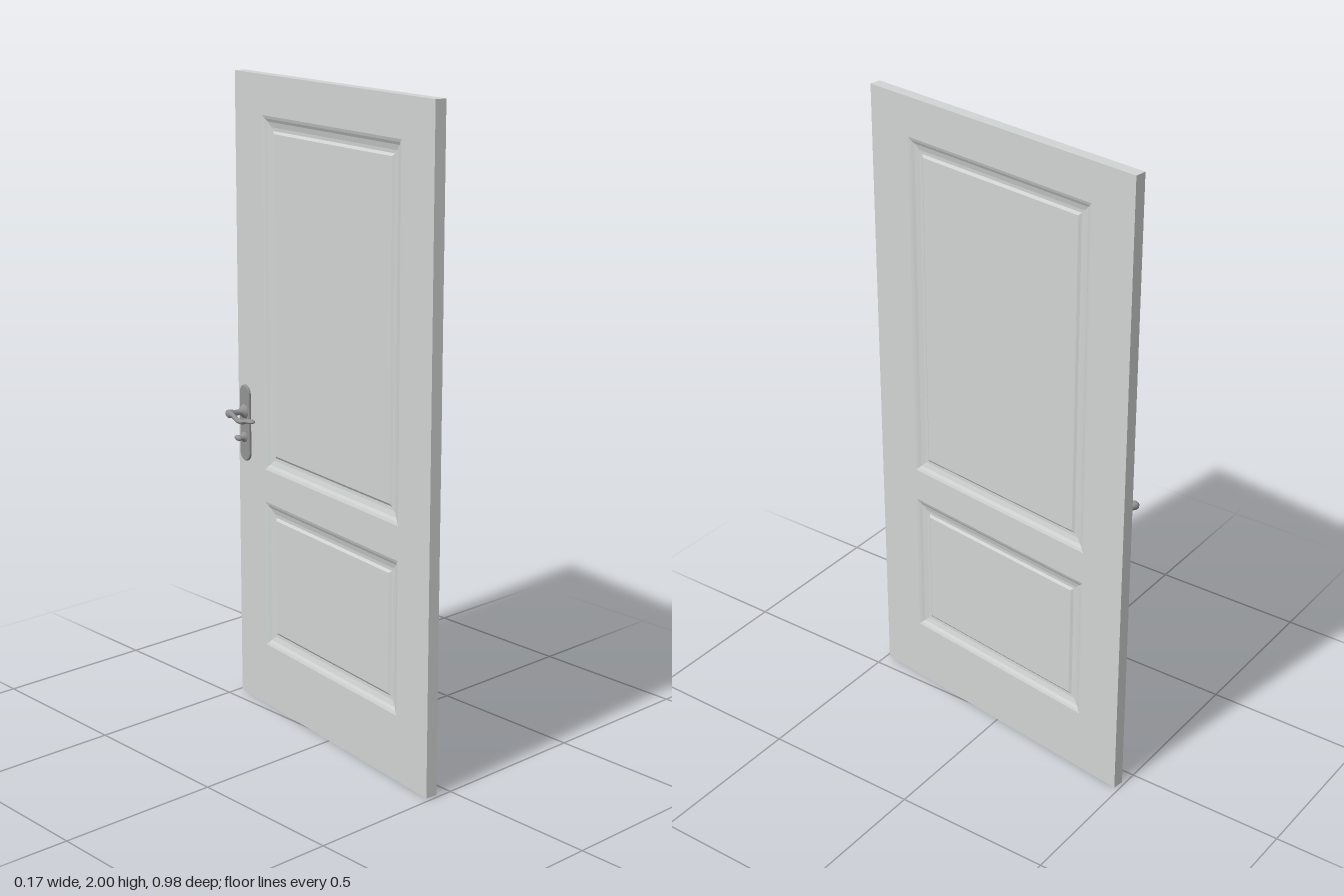
import * as THREE from 'three';

const WIDTH = 0.985, HEIGHT = 2, HALF_T = 0.018;
// Panel openings: half width, bottom, top
const PANELS = [[0.345, 0.785, 1.88], [0.345, 0.205, 0.68]];
// Moulding profile: inset from the opening edge, depth below the door face
const MOULDING = [[0, 0], [0.009, 0.003], [0.018, 0.008], [0.034, 0.012], [0.044, 0.0125], [0.052, 0.007]];

const doorPaint = new THREE.MeshStandardMaterial({ color: 0xd0d4d2 });
doorPaint.name = 'door paint';
const metal = new THREE.MeshStandardMaterial({ color: 0x929292 });
metal.name = 'handle metal';

function add(parent, name, geometry, material) {
  const mesh = new THREE.Mesh(geometry, material);
  mesh.name = name;
  parent.add(mesh);
  return mesh;
}

// Slab with rectangular openings
function frameGeometry() {
  const w = WIDTH / 2;
  const shape = new THREE.Shape([[-w, 0], [w, 0], [w, HEIGHT], [-w, HEIGHT]].map(p => new THREE.Vector2(...p)));
  for (const [hw, y0, y1] of PANELS) {
    shape.holes.push(new THREE.Path([[-hw, y0], [-hw, y1], [hw, y1], [hw, y0]].map(p => new THREE.Vector2(...p))));
  }
  const g = new THREE.ExtrudeGeometry(shape, { depth: HALF_T * 2, bevelEnabled: false });
  return g.translate(0, 0, -HALF_T);
}

// Mitred moulding rings closing onto a raised flat field
function panelGeometry([hw, y0, y1]) {
  const rings = MOULDING.map(([i, d]) => {
    const z = HALF_T - d;
    return [[-hw + i, y0 + i, z], [hw - i, y0 + i, z], [hw - i, y1 - i, z], [-hw + i, y1 - i, z]];
  });
  const pos = [];
  const quad = (a, b, c, d) => pos.push(...a, ...b, ...c, ...a, ...c, ...d);
  for (let r = 0; r + 1 < rings.length; r++) {
    for (let k = 0; k < 4; k++) {
      const n = (k + 1) % 4;
      quad(rings[r][k], rings[r][n], rings[r + 1][n], rings[r + 1][k]);
    }
  }
  quad(...rings[rings.length - 1]);
  const g = new THREE.BufferGeometry();
  g.setAttribute('position', new THREE.Float32BufferAttribute(pos, 3));
  g.computeVertexNormals();
  return g;
}

// Turned part with its axis along the door normal; points are [radius, distance]
function turned(points, segments = 24) {
  return new THREE.LatheGeometry(points.map(p => new THREE.Vector2(...p)), segments).rotateX(Math.PI / 2);
}

// Upright plate with round ends
function backPlate(radius, height) {
  const s = height / 2 - radius;
  const shape = new THREE.Shape();
  shape.absarc(0, s, radius, 0, Math.PI);
  shape.absarc(0, -s, radius, Math.PI, Math.PI * 2);
  return new THREE.ExtrudeGeometry(shape, {
    depth: 0.004, bevelThickness: 0.004, bevelSize: 0.004, bevelOffset: -0.004, bevelSegments: 3, curveSegments: 14,
  });
}

// Wavy lever that widens towards its tip
function leverGeometry() {
  const path = new THREE.CatmullRomCurve3([
    [-0.01, 0.001, 0], [0.02, 0, 0], [0.05, -0.009, 0.001], [0.08, -0.008, 0.002], [0.115, 0.002, 0.003], [0.146, 0.004, 0.003],
  ].map(p => new THREE.Vector3(...p)));
  const g = new THREE.CylinderGeometry(1, 1, 1, 16, 28);
  const p = g.attributes.position;
  for (let i = 0; i < p.count; i++) {
    const t = p.getY(i) + 0.5;
    const c = path.getPoint(t);
    const tip = Math.sqrt(Math.max(0.04, 1 - Math.pow(Math.max(0, (t - 0.86) / 0.14), 2)));
    const across = (0.0065 + 0.0075 * THREE.MathUtils.smoothstep(t, 0.25, 0.9)) * tip;
    const tall = (0.0095 - 0.003 * t) * tip;
    p.setXYZ(i, c.x, c.y - p.getX(i) * tall, c.z + p.getZ(i) * across);
  }
  g.computeVertexNormals();
  return g;
}

export function createModel() {
  const model = new THREE.Group();
  model.name = 'door';
  // Door stands slightly ajar
  const leaf = new THREE.Group();
  leaf.name = 'doorLeaf';
  leaf.rotation.y = -(Math.PI / 2 + 0.1353);
  model.add(leaf);

  add(leaf, 'frame', frameGeometry(), doorPaint);
  PANELS.forEach((panel, i) => {
    const label = i ? 'lowerPanel' : 'upperPanel';
    add(leaf, label + 'HandleSide', panelGeometry(panel), doorPaint);
    add(leaf, label + 'PlainSide', panelGeometry(panel), doorPaint).rotation.y = Math.PI;
  });

  // Handle set on one face
  const handle = new THREE.Group();
  handle.name = 'handle';
  handle.position.set(-0.45, 0.95, HALF_T);
  leaf.add(handle);

  add(handle, 'backPlate', backPlate(0.027, 0.245), metal).position.y = -0.038;
  add(handle, 'neck', turned([
    [0, 0.072], [0.009, 0.071], [0.013, 0.066], [0.0135, 0.058], [0.0105, 0.048], [0.009, 0.038],
    [0.0095, 0.027], [0.013, 0.018], [0.02, 0.013], [0.023, 0.007],
  ].reverse()), metal);
  add(handle, 'lever', leverGeometry(), metal).position.z = 0.064;

  // Small thumb turn below the lever
  add(handle, 'turnBase', turned([[0.017, 0.007], [0.016, 0.012], [0.009, 0.015], [0.007, 0.028], [0, 0.028]]), metal)
    .position.y = -0.083;
  const turn = add(handle, 'thumbTurn', new THREE.SphereGeometry(1, 18, 12), metal);
  turn.scale.set(0.017, 0.009, 0.009);
  turn.position.set(0, -0.083, 0.031);

  return model;
}
